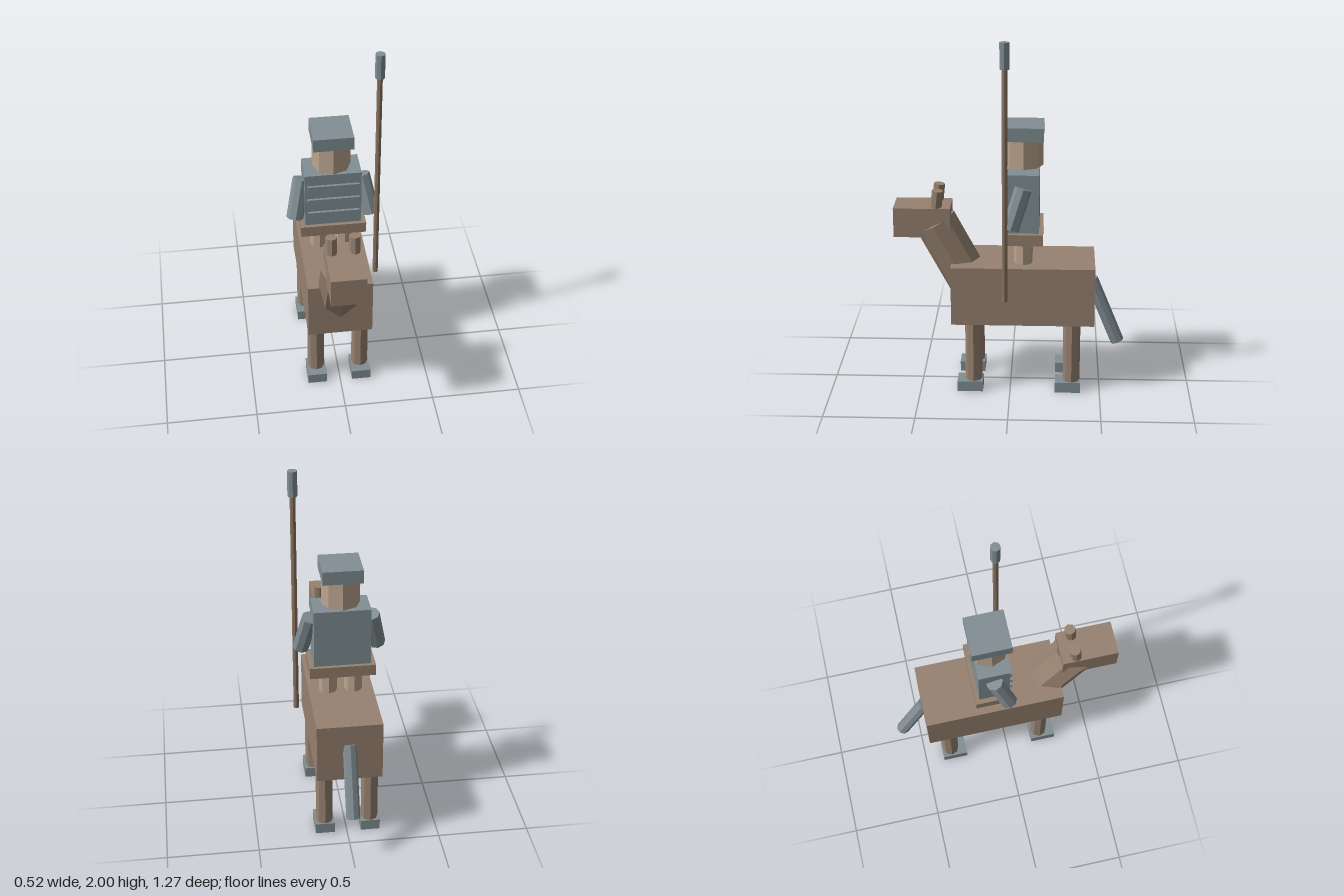
import * as THREE from 'three';

const mat = (name, color) => {
  const m = new THREE.MeshStandardMaterial({ color });
  m.name = name;
  m.flatShading = true;
  return m;
};

export function createModel() {
  const brown = mat('horse brown', 0x978270);
  const skin = mat('skin', 0xbda58f);
  const steel = mat('steel grey', 0x828f94);
  const wood = mat('lance wood', 0x8a7462);

  const model = new THREE.Group();
  model.name = 'mountedRider';
  const CX = -0.005; // middle of the horse and rider
  const RZ = -0.07;  // rider's position along the horse

  const add = (name, geometry, material, pos, rot = [0, 0, 0]) => {
    const mesh = new THREE.Mesh(geometry, material);
    mesh.name = name;
    mesh.position.set(...pos);
    mesh.rotation.set(...rot);
    model.add(mesh);
    return mesh;
  };
  const box = (name, material, size, pos) =>
    add(name, new THREE.BoxGeometry(...size), material, pos);
  const rod = (name, material, r, h, pos, rot) =>
    add(name, new THREE.CylinderGeometry(r, r, h, 8), material, pos, rot);

  // Horse: body, neck, head and tail
  box('horseBody', brown, [0.356, 0.335, 0.787], [CX, 0.573, RZ]);
  rod('horseNeck', brown, 0.12, 0.45, [CX, 0.753, 0.313], [0.487, 0, 0]);
  box('horseHead', brown, [0.188, 0.165, 0.31], [CX, 0.968, 0.482]);
  rod('tail', steel, 0.038, 0.405, [CX, 0.431, -0.523], [0.388, 0, 0]);

  // Mirrored pairs: horse ears, legs and hooves, rider legs and arms
  for (const [side, s] of [['right', -1], ['left', 1]]) {
    rod(side + 'Ear', brown, 0.031, 0.11, [CX + s * 0.062, 1.091, 0.401], [-0.11, 0, 0]);
    for (const [end, legZ, hoofZ] of [['Front', 0.203, 0.222], ['Back', -0.342, -0.322]]) {
      rod(side + end + 'Leg', brown, 0.047, 0.37, [CX + s * 0.126, 0.235, legZ]);
      box(side + end + 'Hoof', steel, [0.107, 0.06, 0.142], [CX + s * 0.126, 0.03, hoofZ]);
    }
    rod(side + 'RiderLeg', skin, 0.05, 0.15, [CX + s * 0.07, 0.808, RZ]);
    rod(side + 'Arm', steel, 0.047, 0.23, [CX + s * 0.187, 1.088, -0.037], [-0.31, 0, s * 0.2]);
  }

  // Rider: belt, torso with chest bands, head and cap
  box('belt', brown, [0.36, 0.063, 0.215], [CX, 0.906, RZ]);
  box('torso', steel, [0.308, 0.328, 0.172], [CX, 1.101, RZ]);
  for (let i = 0; i < 3; i++) {
    box('chestBand', steel, [0.285, 0.025, 0.018], [CX, 1.015 + i * 0.087, 0.022]);
  }
  rod('riderHead', skin, 0.105, 0.16, [CX, 1.36, RZ]);
  box('cap', steel, [0.217, 0.075, 0.215], [CX, 1.473, RZ]);

  // Lance
  rod('lanceShaft', wood, 0.015, 1.285, [0.233, 1.218, 0.025]);
  rod('lanceTip', steel, 0.026, 0.14, [0.233, 1.93, 0.025]);

  return model;
}
